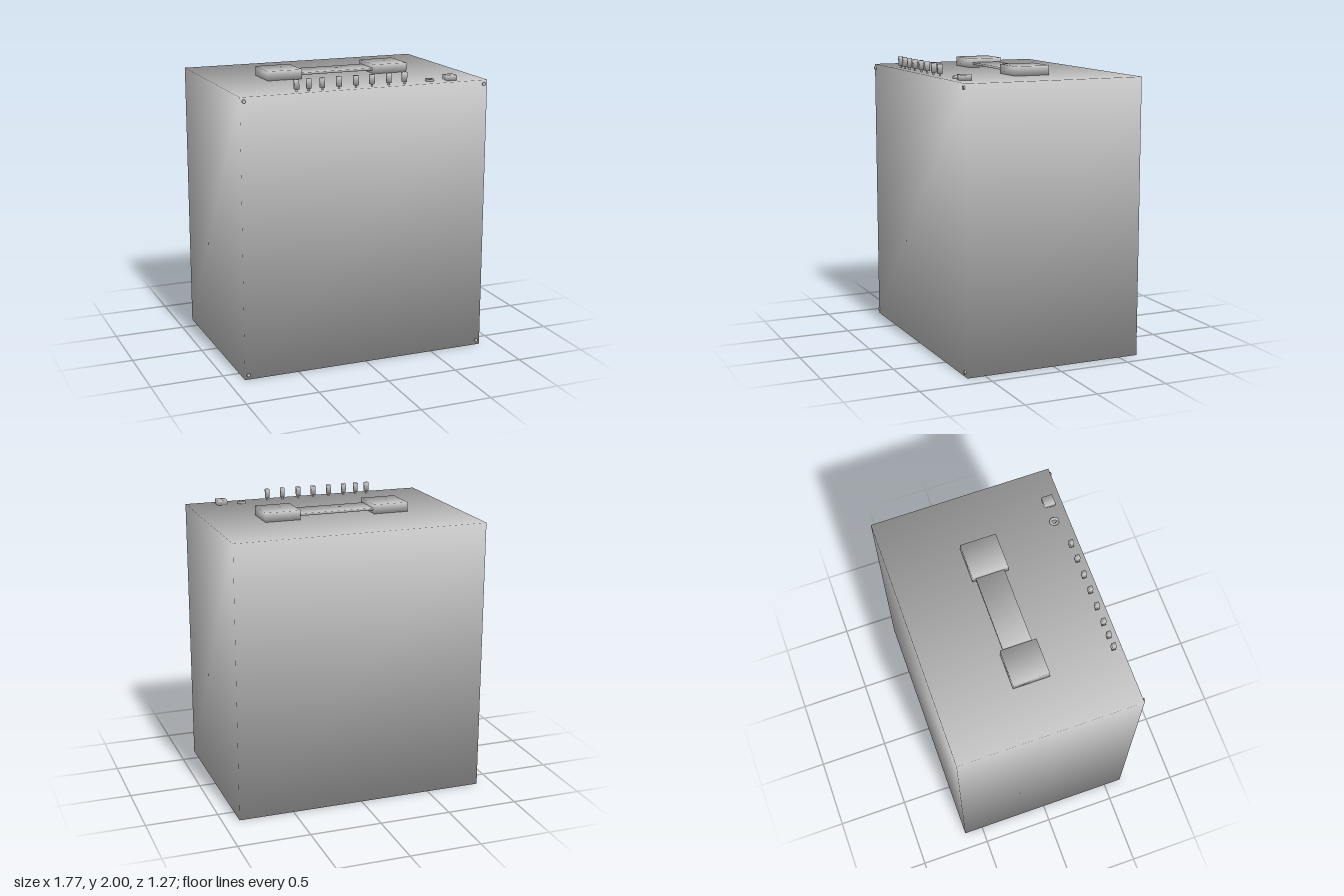
import * as THREE from 'three';

const material = new THREE.MeshStandardMaterial({ color: 0xcccccc });

// Box given by its limits, with corner normals shared by the three faces
function softBox(name, [x0, x1], [y0, y1], [z0, z1]) {
  const geometry = new THREE.BoxGeometry(x1 - x0, y1 - y0, z1 - z0);
  const p = geometry.attributes.position;
  const n = new THREE.Vector3();
  for (let i = 0; i < p.count; i++) {
    n.set(Math.sign(p.getX(i)), Math.sign(p.getY(i)), Math.sign(p.getZ(i))).normalize();
    geometry.attributes.normal.setXYZ(i, n.x, n.y, n.z);
  }
  const mesh = new THREE.Mesh(geometry, material);
  mesh.name = name;
  mesh.position.set((x0 + x1) / 2, (y0 + y1) / 2, (z0 + z1) / 2);
  return mesh;
}

export function createModel() {
  const model = new THREE.Group();
  model.name = 'amplifierCabinet';
  const top = 1.92, front = 0.626;

  // Cabinet
  model.add(softBox('cabinet', [-0.885, 0.885], [0, top], [-0.637, front]));

  // Carrying handle: two end caps and a thin strap
  const handle = new THREE.Group();
  handle.name = 'handle';
  handle.add(
    softBox('handleCapRight', [-0.52, -0.27], [top, 1.985], [-0.132, 0.118]),
    softBox('handleCapLeft', [0.266, 0.516], [top, 1.985], [-0.132, 0.118]),
    softBox('handleStrap', [-0.27, 0.266], [1.941, 1.957], [-0.108, 0.09])
  );
  model.add(handle);

  // Row of control knobs on narrow stems
  const knobs = [-0.48, -0.395, -0.3, -0.183, -0.062, 0.053, 0.175, 0.29];
  for (const x of knobs) {
    const knob = new THREE.Group();
    knob.name = 'controlKnob';
    const z = 0.567;
    knob.add(softBox('knobHead', [x - 0.014, x + 0.014], [1.935, 2], [z - 0.014, z + 0.014]));
    const stem = new THREE.Mesh(new THREE.CylinderGeometry(0.007, 0.007, 0.02, 12), material);
    stem.name = 'knobStem';
    stem.position.set(x, top + 0.007, z);
    knob.add(stem);
    model.add(knob);
  }

  // Input socket: a slightly oval ring
  const profile = [[0.015, 0], [0.028, 0], [0.028, 0.015], [0.015, 0.015], [0.015, 0]];
  const socket = new THREE.Mesh(
    new THREE.LatheGeometry(profile.map(([r, y]) => new THREE.Vector2(r, y)), 24), material);
  socket.name = 'inputSocket';
  socket.scale.z = 1.18;
  socket.position.set(0.497, top, 0.526);
  model.add(socket);

  // Power switch
  model.add(softBox('powerSwitch', [0.609, 0.679], [top, 1.956], [0.5, 0.574]));

  // Screws in the front corners
  for (const x of [-0.861, 0.857]) {
    for (const y of [0.034, 1.893]) {
      const screw = new THREE.Mesh(new THREE.CylinderGeometry(0.012, 0.012, 0.016, 16), material);
      screw.name = 'cornerScrew';
      screw.rotation.x = Math.PI / 2;
      screw.position.set(x, y, front + 0.003);
      model.add(screw);
    }
  }
  return model;
}
